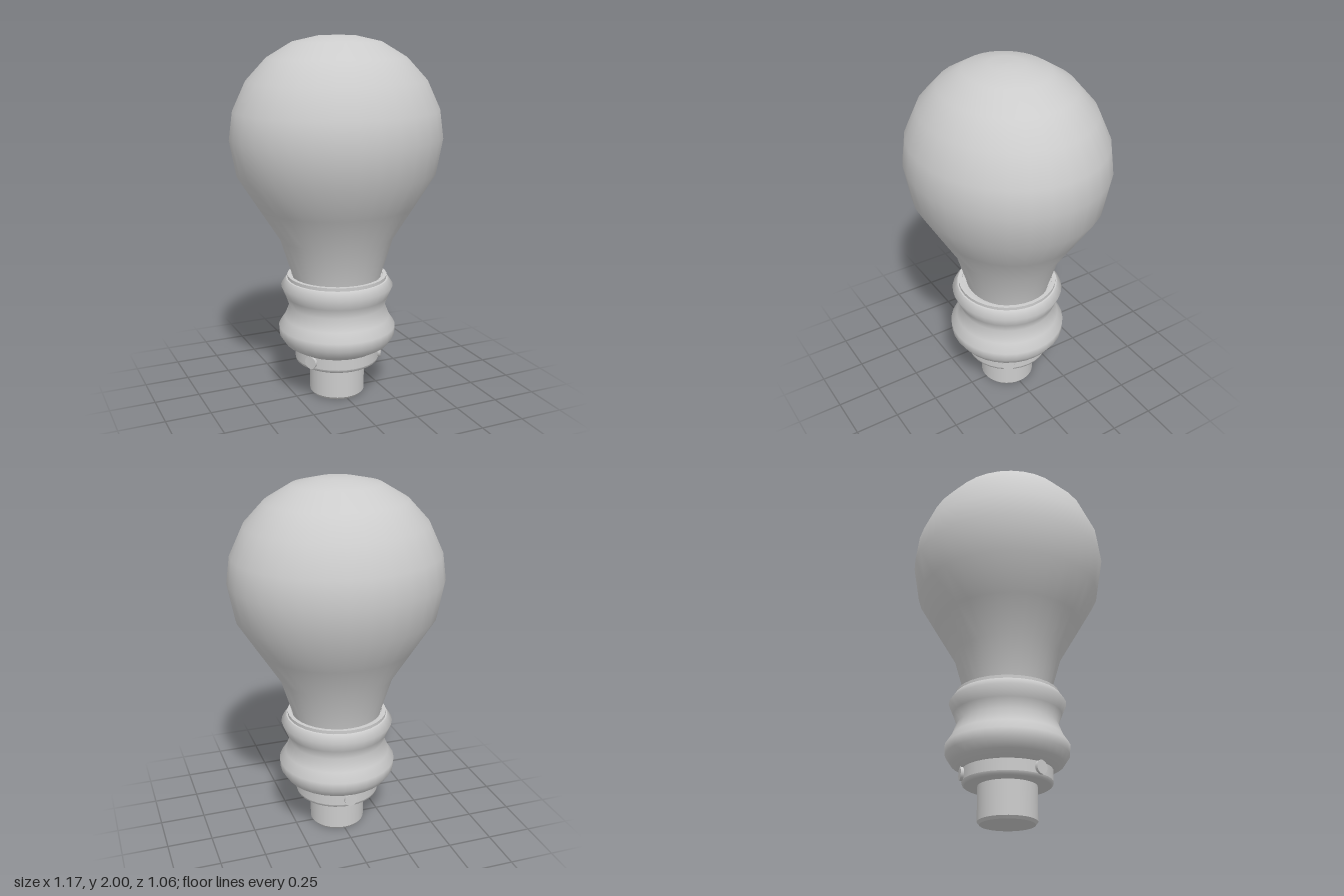
import * as THREE from 'three';

const SEGMENTS = 32;

export function createModel() {
  const model = new THREE.Group();
  const grey = new THREE.MeshStandardMaterial({ color: 0xcccccc });
  grey.name = 'light grey';

  const add = (name, geometry, parent = model) => {
    const mesh = new THREE.Mesh(geometry, grey);
    mesh.name = name;
    parent.add(mesh);
    return mesh;
  };
  // Profiles run upward on the outside, as [radius, height]
  const turn = (name, profile, parent) =>
    add(name, new THREE.LatheGeometry(profile.map(([r, y]) => new THREE.Vector2(r, y)), SEGMENTS), parent);

  // Glass bulb, slightly flattened front to back
  const bulb = turn('bulb', [
    [0.24, 0.62], [0.252, 0.70], [0.318, 0.91], [0.433, 1.09], [0.547, 1.27],
    [0.583, 1.465], [0.563, 1.61], [0.49, 1.765], [0.378, 1.885],
    [0.24, 1.967], [0.1, 1.998], [0, 2.0],
  ]);
  bulb.scale.z = 0.91;

  // Waisted collar; separate bands keep the edges crisp
  const collar = new THREE.Group();
  collar.name = 'collar';
  model.add(collar);
  turn('collarUnderside', [[0.15, 0.275], [0.24, 0.277]], collar);
  turn('collarBody', [
    [0.24, 0.277], [0.295, 0.31], [0.325, 0.355], [0.328, 0.405],
    [0.295, 0.455], [0.268, 0.525], [0.288, 0.58], [0.313, 0.64], [0.285, 0.68],
  ], collar);
  turn('collarLedge', [[0.285, 0.68], [0.277, 0.682]], collar);
  turn('collarRim', [[0.277, 0.68], [0.277, 0.70]], collar);
  turn('collarRimTop', [[0.277, 0.70], [0.256, 0.70]], collar);
  turn('collarInside', [[0.256, 0.70], [0.254, 0.685], [0.18, 0.685]], collar);

  // Lower band with a rounded bottom edge
  turn('lowerBand', [[0.237, 0.215], [0.237, 0.285]]);
  turn('lowerBandEdge', [[0.13, 0.195], [0.222, 0.195], [0.233, 0.202], [0.237, 0.215]]);

  // Bottom stub
  turn('stub', [[0.155, 0.015], [0.155, 0.2]]);
  turn('stubEdge', [[0.143, 0], [0.155, 0.015]]);
  turn('stubBase', [[0, 0], [0.143, 0]]);

  // Three locking pins around the lower band
  for (let i = 0; i < 3; i++) {
    const angle = Math.PI / 6 + (i * Math.PI * 2) / 3;
    const pivot = new THREE.Group();
    pivot.name = 'lockingPin';
    pivot.rotation.y = -angle;
    const pin = add('pin', new THREE.CylinderGeometry(0.036, 0.036, 0.06, 16), pivot);
    pin.rotation.z = -Math.PI / 2;
    pin.position.set(0.22, 0.247, 0);
    model.add(pivot);
  }

  return model;
}
